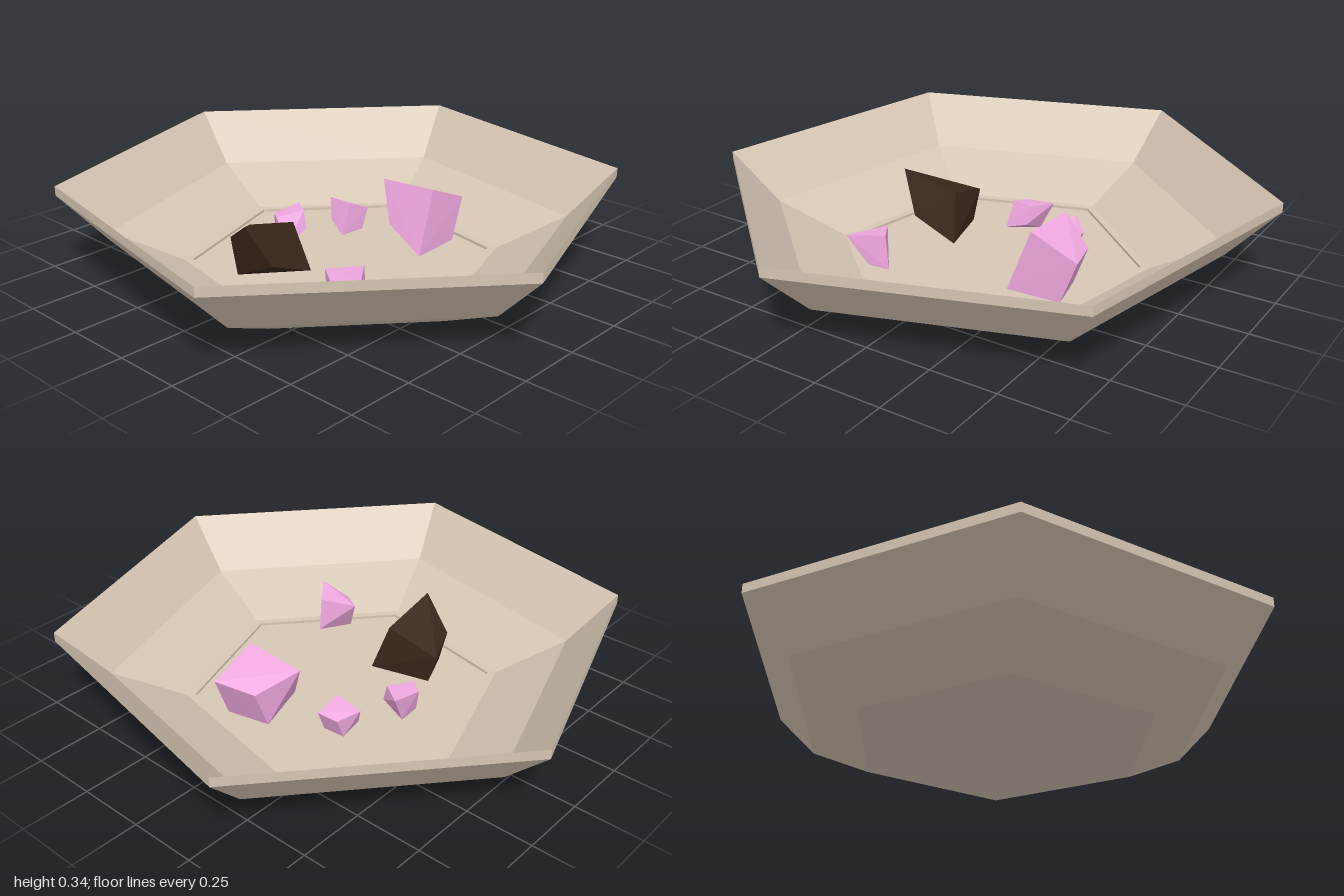
import * as THREE from 'three';
import { ConvexGeometry } from 'three/addons/geometries/ConvexGeometry.js';

const flat = (color) => new THREE.MeshStandardMaterial({ color, flatShading: true });

// Six-sided shell turned from a profile of [radius, height] pairs
function hexLathe(name, profile, material) {
  const points = profile.map(([r, y]) => new THREE.Vector2(r, y));
  const start = THREE.MathUtils.degToRad(18.95);
  const mesh = new THREE.Mesh(new THREE.LatheGeometry(points, 6, start), material);
  mesh.name = name;
  return mesh;
}

// Faceted stone wrapped around a handful of corners
function stone(name, corners, material) {
  const points = corners.map((c) => new THREE.Vector3(...c));
  const mesh = new THREE.Mesh(new ConvexGeometry(points), material);
  mesh.name = name;
  return mesh;
}

export function createModel() {
  const group = new THREE.Group();
  group.name = 'stoneBowl';
  const sand = flat(0xd6c6b4);
  const pink = flat(0xf0a8e0);
  const brown = flat(0x3a261a);

  // Bowl: underside, outer wall, rim band, then inner wall down to the ledge
  group.add(hexLathe('bowl', [
    [0, 0], [0.58, 0], [0.84, 0.125], [1.018, 0.305], [1.018, 0.34],
    [0.84, 0.157], [0.58, 0.04], [0.548, 0.04], [0.548, 0.03],
  ], sand));

  // Sunken floor panel
  group.add(hexLathe('floorPanel', [[0.548, 0.03], [0, 0.03]], sand));

  // Dark rock
  group.add(stone('darkRock', [
    [-0.255, 0.15, 0.225], [0.008, 0.03, 0.171], [0.003, 0.1, 0.354],
    [-0.046, 0.26, 0.434], [-0.19, 0.165, 0.375], [-0.05, 0.21, 0.2],
    [-0.155, 0.03, 0.377], [-0.217, 0.03, 0.231],
  ], brown));

  // Large crystal, and a half-size copy of the same shape beside it
  const crystal = [
    [0.04, 0.178, -0.418], [0.195, 0.19, -0.46], [0.197, 0.265, -0.279],
    [-0.045, 0.25, -0.279], [0.035, 0.1, -0.225], [0.21, 0.03, -0.193],
    [0.2, 0.03, -0.4], [0.037, 0.03, -0.362],
  ];
  group.add(stone('largeCrystal', crystal, pink));

  const angle = 0.14;
  const half = crystal.map(([x, y, z]) => {
    const dx = (x - 0.21) * 0.5;
    const dz = (z + 0.193) * 0.5;
    return [
      -0.137 + dx * Math.cos(angle) - dz * Math.sin(angle),
      0.03 + (y - 0.03) * 0.5,
      -0.145 + dx * Math.sin(angle) + dz * Math.cos(angle),
    ];
  });
  group.add(stone('smallCrystalBack', half, pink));

  // Small crystals on the right and front-left of the floor
  group.add(stone('smallCrystalRight', [
    [-0.308, 0.14, -0.08], [-0.207, 0.073, -0.02], [-0.228, 0.143, -0.027],
    [-0.32, 0.125, 0.04], [-0.27, 0.13, 0.075], [-0.21, 0.04, 0.075],
    [-0.3, 0.03, -0.027], [-0.294, 0.03, 0.06],
  ], pink));
  group.add(stone('smallCrystalFront', [
    [0.33, 0.04, 0.23], [0.22, 0.15, 0.316], [0.303, 0.14, 0.37],
    [0.415, 0.18, 0.348], [0.37, 0.06, 0.29], [0.276, 0.03, 0.355],
    [0.33, 0.17, 0.24],
  ], pink));

  return group;
}
